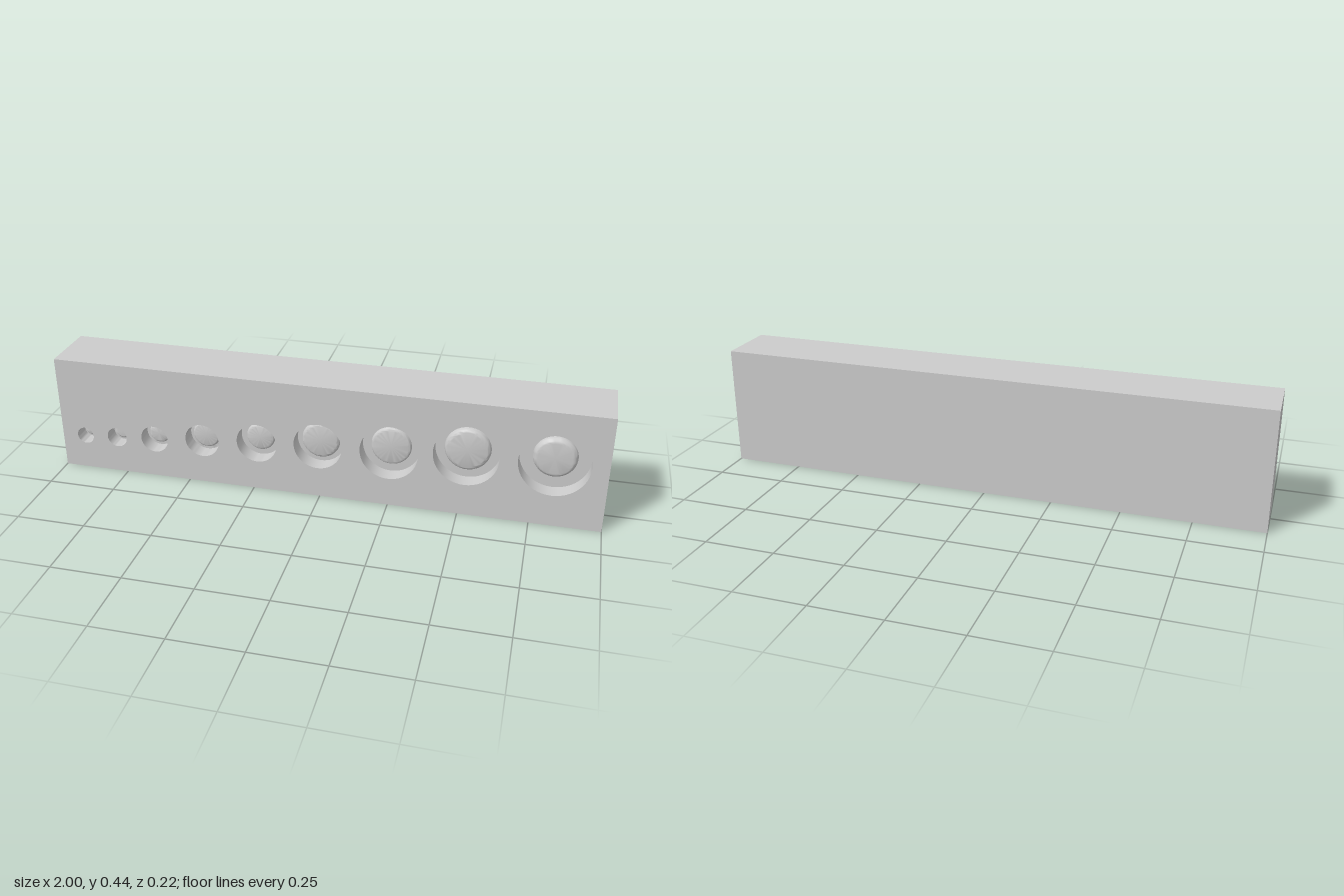
import * as THREE from 'three';
import { toCreasedNormals } from 'three/addons/utils/BufferGeometryUtils.js';

const H = 0.438, D = 0.224, FLOOR = 0.06, SEG = 48;

// Sockets, small to large: x, y, socket radius, button radius, flat top radius
const sockets = [
  [-0.909, 0.134, 0.032, 0.025, 0.017],
  [-0.781, 0.142, 0.038, 0.030, 0.021],
  [-0.631, 0.153, 0.052, 0.040, 0.029],
  [-0.444, 0.171, 0.064, 0.052, 0.042],
  [-0.235, 0.187, 0.075, 0.053, 0.042],
  [-0.008, 0.203, 0.088, 0.070, 0.057],
  [0.249, 0.211, 0.104, 0.073, 0.062],
  [0.519, 0.235, 0.115, 0.082, 0.065],
  [0.818, 0.243, 0.123, 0.077, 0.058],
];

// Socket wall, floor and rounded button turned as one profile
function socketGeometry(radius, button, flat) {
  const rise = Math.min(0.022, (button - flat) * 1.15);
  const points = [[radius, 0], [radius, -FLOOR], [button, -FLOOR]];
  for (let i = 1; i <= 6; i++) {
    const a = (i / 6) * Math.PI / 2;
    points.push([flat + (button - flat) * Math.cos(a), -FLOOR + rise * Math.sin(a)]);
  }
  points.push([0, -FLOOR + rise]);
  const geo = new THREE.LatheGeometry(points.map(([r, y]) => new THREE.Vector2(r, y)), SEG);
  geo.rotateX(Math.PI / 2);
  return toCreasedNormals(geo, 0.6);
}

export function createModel() {
  const group = new THREE.Group();
  const material = new THREE.MeshStandardMaterial({ color: 0xcccccc });
  const add = (name, geometry, x, y, z) => {
    const mesh = new THREE.Mesh(geometry, material);
    mesh.name = name;
    mesh.position.set(x, y, z);
    group.add(mesh);
  };

  // Block with its front face left open
  const box = new THREE.BoxGeometry(2, H, D);
  const index = Array.from(box.index.array);
  index.splice(24, 6);
  box.setIndex(index);
  box.clearGroups();
  add('block', box, 0, H / 2, 0);

  // Front face pierced by the round sockets
  const face = new THREE.Shape([[-1, 0], [1, 0], [1, H], [-1, H]].map(([x, y]) => new THREE.Vector2(x, y)));
  for (const [x, y, r] of sockets) {
    face.holes.push(new THREE.Path().absarc(x, y, r, 0, Math.PI * 2, true));
  }
  add('frontFace', new THREE.ShapeGeometry(face, SEG / 2), 0, 0, D / 2);

  // Recessed sockets with a button in each
  sockets.forEach(([x, y, radius, button, flat], i) => {
    add(`socket${i + 1}`, socketGeometry(radius, button, flat), x, y, D / 2);
  });
  return group;
}
